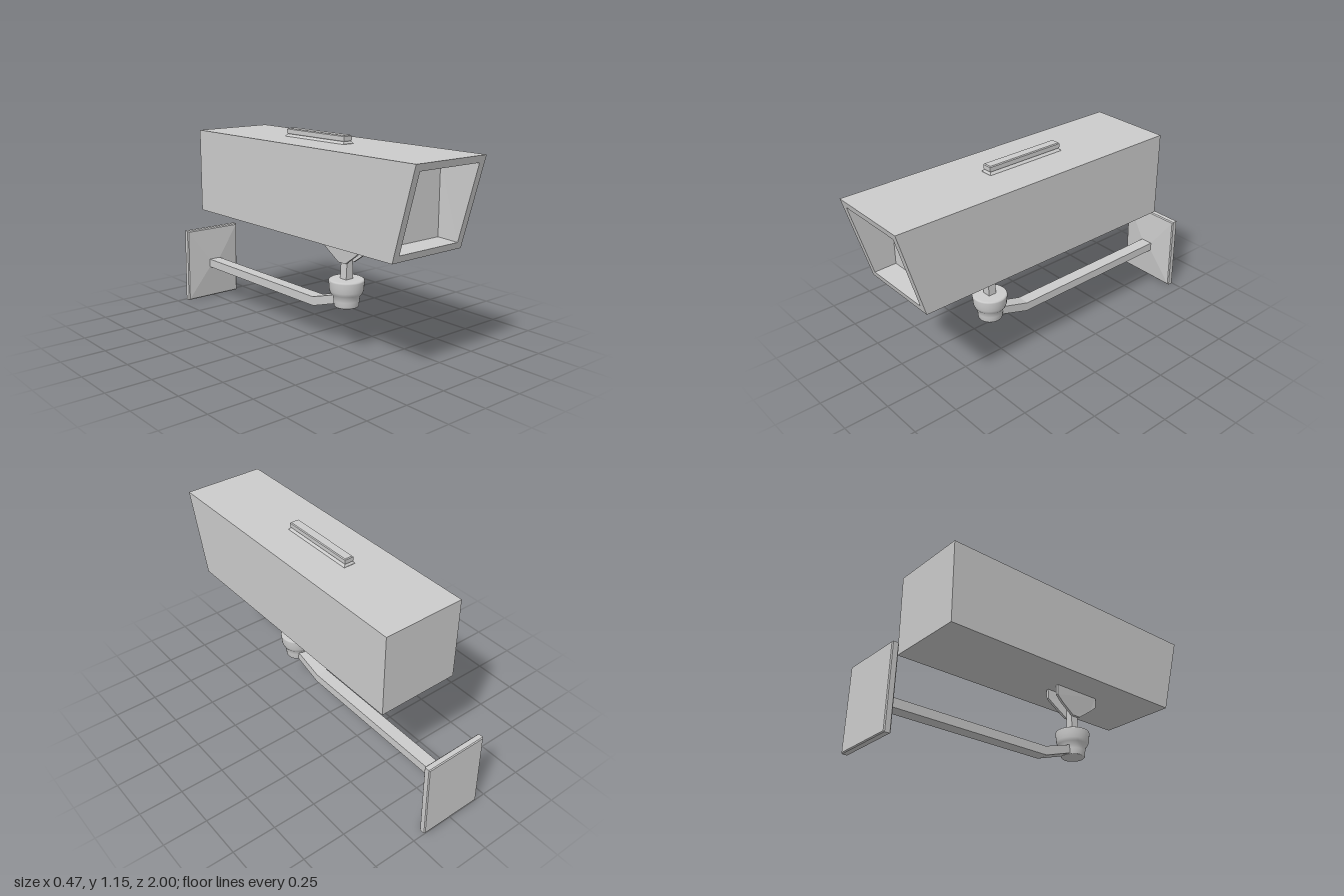
import * as THREE from 'three';

const material = new THREE.MeshStandardMaterial({ color: 0xcccccc });

function part(name, geometry) {
  const mesh = new THREE.Mesh(geometry, material);
  mesh.name = name;
  return mesh;
}

// Flat-sided skin through rings of four corners, closed at both ends.
function loft(rings) {
  const pos = [];
  const quad = (a, b, c, d) => pos.push(...a, ...b, ...c, ...a, ...c, ...d);
  const first = rings[0];
  const last = rings[rings.length - 1];
  quad(first[3], first[2], first[1], first[0]);
  for (let r = 0; r < rings.length - 1; r++) {
    for (let i = 0; i < 4; i++) {
      const j = (i + 1) % 4;
      quad(rings[r][i], rings[r][j], rings[r + 1][j], rings[r + 1][i]);
    }
  }
  quad(...last);
  const g = new THREE.BufferGeometry();
  g.setAttribute('position', new THREE.Float32BufferAttribute(pos, 3));
  g.computeVertexNormals();
  return g;
}

// Upright rectangle facing +z; zAt gives the depth at a height.
function ringZ(hx, y0, y1, zAt) {
  return [[-hx, y0], [hx, y0], [hx, y1], [-hx, y1]].map(([x, y]) => [x, y, zAt(y)]);
}

// Level rectangle at height y.
function ringY(y, hx, z0, z1) {
  return [[-hx, y, z1], [hx, y, z1], [hx, y, z0], [-hx, y, z0]];
}

// Side outline given as [z, y] points, extruded across x and centred on x = 0.
function sideExtrude(points, width) {
  const shape = new THREE.Shape(points.map(([z, y]) => new THREE.Vector2(z, y)));
  const g = new THREE.ExtrudeGeometry(shape, { depth: width, bevelEnabled: false });
  return g.rotateY(-Math.PI / 2).translate(width / 2, 0, 0);
}

export function createModel() {
  const model = new THREE.Group();
  model.name = 'securityCamera';

  // Housing with a raked front and a recessed window
  const rake = (y) => 0.87 + (y - 0.635) * (0.13 / 0.47);
  model.add(part('housing', loft([
    ringZ(0.235, 0.635, 1.105, () => -0.705),
    ringZ(0.235, 0.635, 1.105, rake),
    ringZ(0.199, 0.67, 1.069, rake),
    ringZ(0.192, 0.677, 1.062, () => 0.76),
  ])));

  // Rail on the roof with a flared foot
  const rail = part('topRail', loft([
    ringY(1.1, 0.035, -0.155, 0.315),
    ringY(1.107, 0.034, -0.155, 0.315),
    ringY(1.118, 0.024, -0.147, 0.307),
    ringY(1.123, 0.027, -0.15, 0.31),
    ringY(1.144, 0.027, -0.15, 0.31),
    ringY(1.149, 0.023, -0.146, 0.306),
  ]));
  rail.position.x = -0.003;
  model.add(rail);

  // Swivel mount below the housing
  const mount = new THREE.Group();
  mount.name = 'swivelMount';
  mount.position.x = -0.005;
  model.add(mount);

  // Two fork plates that lean inward toward their lower tips
  const forkOutline = [
    [0.46, 0.64], [0.165, 0.64], [0.165, 0.578], [0.205, 0.545],
    [0.288, 0.49], [0.342, 0.49], [0.42, 0.545], [0.46, 0.578],
  ];
  for (const side of [1, -1]) {
    const g = sideExtrude(forkOutline, 0.015);
    const p = g.attributes.position;
    for (let i = 0; i < p.count; i++) {
      const lean = 0.012 * THREE.MathUtils.clamp((0.6 - p.getY(i)) / 0.08, 0, 1);
      p.setX(i, p.getX(i) + side * (0.041 - lean));
    }
    g.computeVertexNormals();
    mount.add(part(side > 0 ? 'leftForkPlate' : 'rightForkPlate', g));
  }

  mount.add(part('stem', loft([
    ringY(0.38, 0.026, 0.291, 0.338),
    ringY(0.49, 0.02, 0.291, 0.338),
    ringY(0.625, 0.018, 0.291, 0.338),
  ])));

  // Round stepped socket
  const socketProfile = [
    [0, 0.25], [0.062, 0.25], [0.066, 0.254], [0.069, 0.285], [0.072, 0.308],
    [0.084, 0.322], [0.091, 0.34], [0.093, 0.365], [0.096, 0.39], [0.094, 0.397],
    [0.087, 0.401], [0, 0.401],
  ].map(([r, y]) => new THREE.Vector2(r, y));
  const socket = part('socket', new THREE.LatheGeometry(socketProfile, 32));
  socket.position.z = 0.315;
  mount.add(socket);

  // Bent square arm running back to the wall
  mount.add(part('arm', sideExtrude([
    [0.28, 0.31], [0.28, 0.262], [0.085, 0.2], [-0.97, 0.2], [-0.97, 0.25], [0.08, 0.25],
  ].reverse(), 0.073)));

  // Wall plate with a shallow pyramid face, tilted slightly
  const flat = (z) => () => z;
  const plate = part('wallPlate', loft([
    ringZ(0.178, -0.22, 0.22, flat(-0.019)),
    ringZ(0.183, -0.225, 0.225, flat(-0.014)),
    ringZ(0.183, -0.225, 0.225, flat(0.013)),
    ringZ(0.177, -0.219, 0.219, flat(0.019)),
    ringZ(0.037, -0.025, 0.025, flat(0.037)),
  ]));
  plate.position.set(-0.005, 0.225, -0.977);
  plate.rotation.x = 0.022;
  model.add(plate);

  return model;
}
